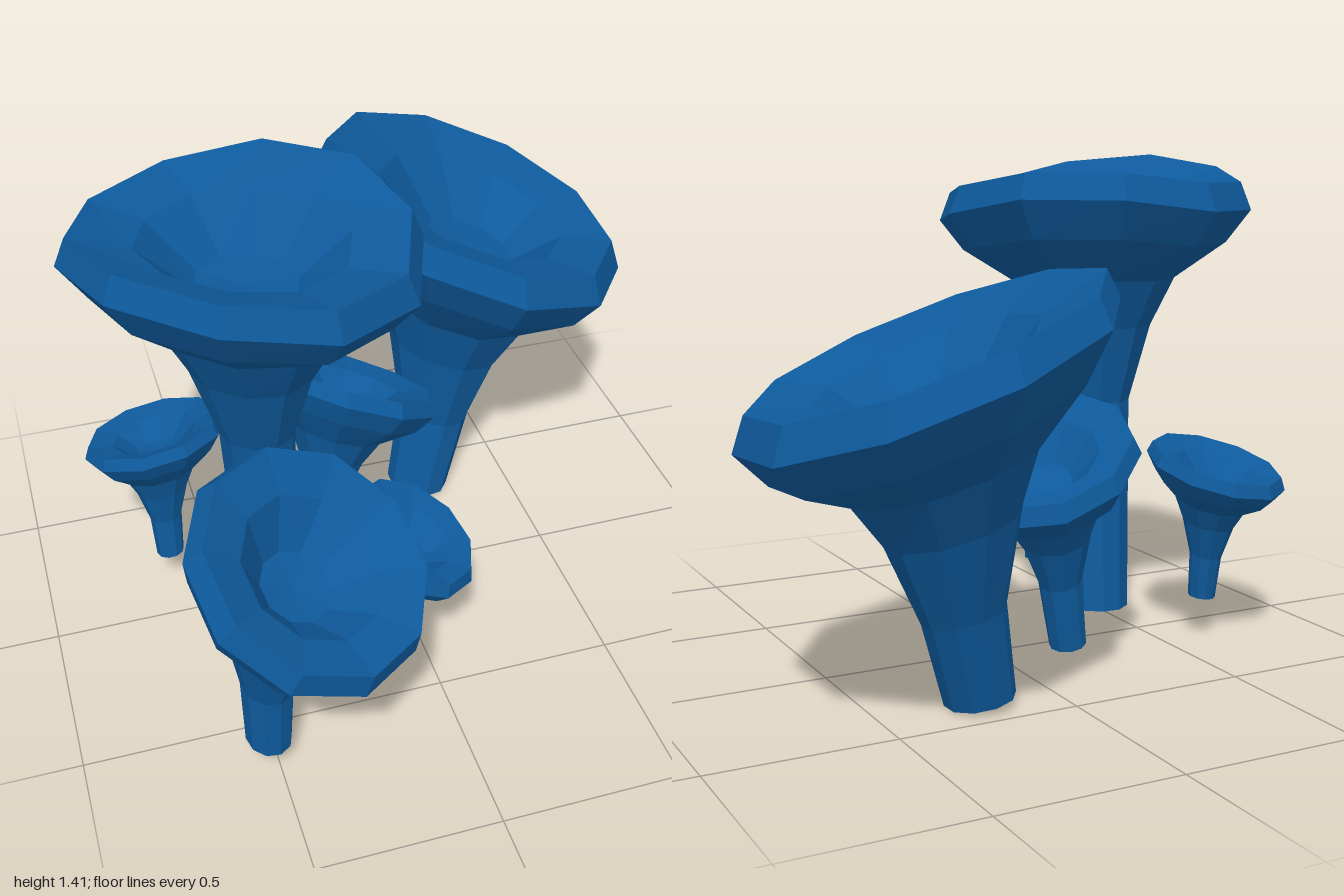
import * as THREE from 'three';

const SIDES = 10;
const UP = new THREE.Vector3(0, 1, 0);

// Outer skin: [radius, depth below rim, sideways lean, tilt], radius and depth in cap radii.
const OUTER = [
  [0.235, 1.48, 0.32, 0.6],
  [0.38, 0.98, 0.52, 0.75],
  [0.54, 0.66, 0.66, 0.88],
  [0.88, 0.4, 0.9, 1],
  [1.04, 0.17, 0.98, 1],
  [0.97, 0, 1, 1],
];
// Shallow lip of the cap, then a steep-sided hollow down to its middle.
const BOWL = [
  [0.62, 0.1, 1, 1],
  [0.31, 0.38, 0.97, 0.95],
  [0, 0.41, 0.96, 0.9],
];

// One funnel-shaped mushroom: foot and rim centre points, rim slope along x and z,
// a bend that moves the lean of the stem lower (below 1) or higher (above 1),
// a sag that pushes the underside out below the high side of the rim,
// and a wave [height, direction] that lifts two opposite sides of the rim.
function funnelMushroom({ foot, rim, radius, slope, bend = 1, sag = 0, wave = [0, 0], phase = 0 }) {
  const bottom = (rim[1] - foot[1]) / radius;
  const profile = [[0.2, bottom, 0, 0.4], ...OUTER, ...BOWL];
  const rings = profile.map(([r, depth, lean, tilt]) => {
    const normal = new THREE.Vector3(-slope[0] * tilt, 1, -slope[1] * tilt).normalize();
    const turn = new THREE.Quaternion().setFromUnitVectors(UP, normal);
    const shift = lean ** bend;
    const push = sag * depth * radius * lean * lean;
    const centre = new THREE.Vector3(
      foot[0] + (rim[0] - foot[0]) * shift + slope[0] * push,
      rim[1] - depth * radius,
      foot[2] + (rim[2] - foot[2]) * shift + slope[1] * push,
    );
    return Array.from({ length: SIDES }, (_, j) => {
      const a = (j / SIDES) * Math.PI * 2 + phase;
      const p = new THREE.Vector3(Math.cos(a), 0, Math.sin(a)).multiplyScalar(r * radius);
      p.applyQuaternion(turn).add(centre);
      p.y += wave[0] * r * r * Math.cos(2 * (a - wave[1]));
      return p.toArray();
    });
  });
  const positions = [];
  for (let i = 0; i < rings.length - 1; i++) {
    for (let j = 0; j < SIDES; j++) {
      const k = (j + 1) % SIDES;
      const a = rings[i][j], b = rings[i][k], c = rings[i + 1][j], d = rings[i + 1][k];
      positions.push(...a, ...c, ...b);
      if (i < rings.length - 2) positions.push(...b, ...c, ...d);
    }
  }
  // Unshared corners give flat facets
  const geometry = new THREE.BufferGeometry();
  geometry.setAttribute('position', new THREE.Float32BufferAttribute(positions, 3));
  geometry.computeVertexNormals();
  return geometry;
}

const MUSHROOMS = {
  tallMushroom: {
    foot: [-0.37, 0.09, 0.015], rim: [-0.41, 1.35, 0.135], radius: 0.442,
    slope: [-0.06, 0.01], bend: 0.35, wave: [0.04, Math.PI * 0.75], phase: 0.03,
  },
  largeLeaningMushroom: {
    foot: [0.215, 0.015, -0.37], rim: [0.42, 0.975, -0.5], radius: 0.48,
    slope: [-0.38, -0.08], phase: Math.PI / 10,
  },
  frontMushroom: {
    foot: [-0.52, 0.085, 0.62], rim: [-0.39, 0.755, 0.715], radius: 0.315,
    slope: [-0.49, -0.51], bend: 1.5, sag: 0.8,
  },
  backMushroom: {
    foot: [-0.185, 0.035, -0.13], rim: [-0.065, 0.62, -0.18], radius: 0.265,
    slope: [-0.44, 0.33], sag: 0.3,
  },
  smallSideMushroom: {
    foot: [-0.635, 0.12, -0.14], rim: [-0.64, 0.54, -0.195], radius: 0.198,
    slope: [0.15, 0.25], sag: 0.3,
  },
  smallFrontMushroom: {
    foot: [-0.09, 0.03, 0.29], rim: [-0.02, 0.41, 0.31], radius: 0.195,
    slope: [-0.5, -0.22], bend: 1.3, sag: 0.4,
  },
};

export function createModel() {
  const group = new THREE.Group();
  group.name = 'mushroomCluster';
  // Both sides show because the stems are open at the foot
  const blue = new THREE.MeshStandardMaterial({ color: 0x0e5a9c, side: THREE.DoubleSide });
  blue.name = 'deepBlue';
  for (const [name, options] of Object.entries(MUSHROOMS)) {
    const mesh = new THREE.Mesh(funnelMushroom(options), blue);
    mesh.name = name;
    group.add(mesh);
  }
  return group;
}
